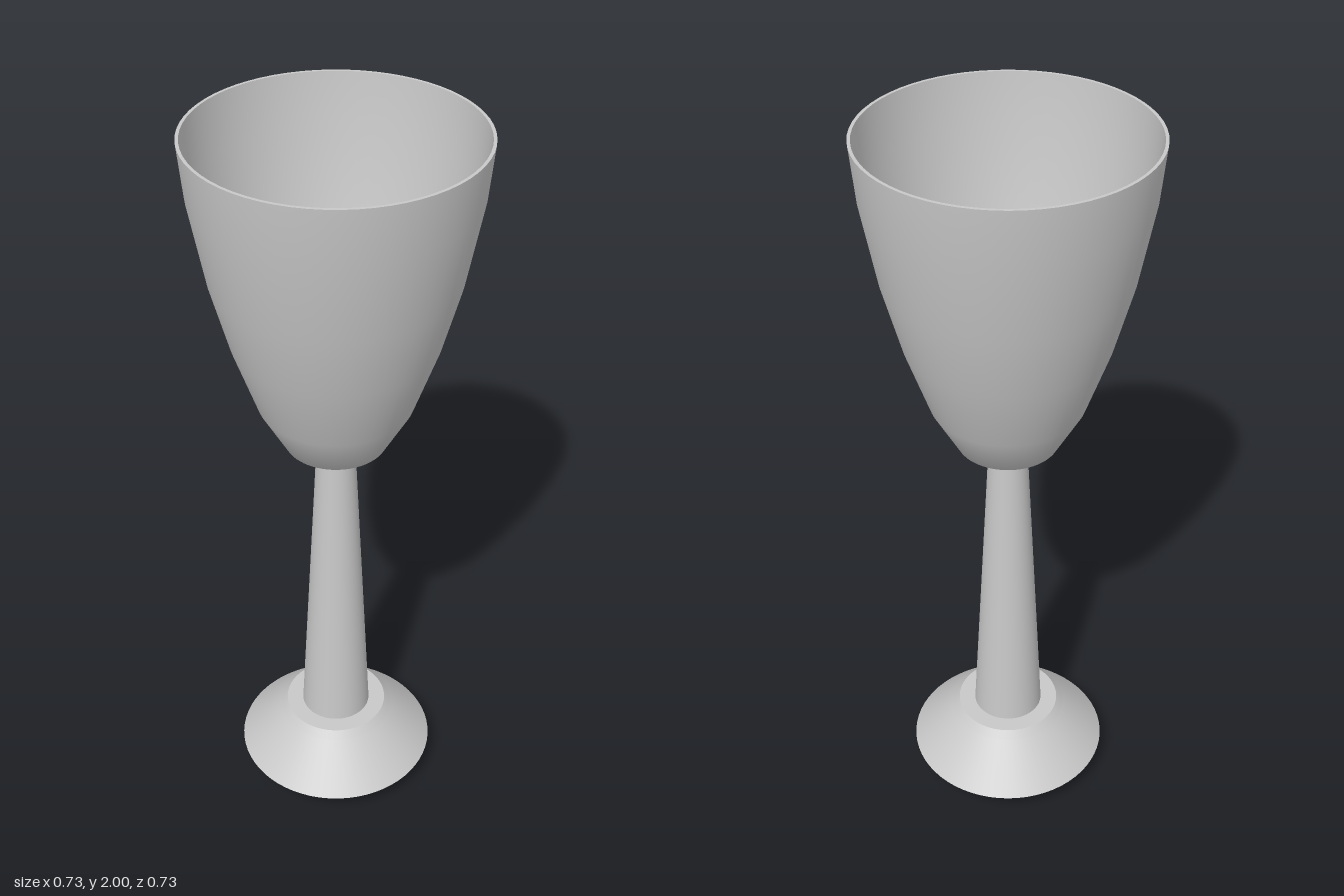
import * as THREE from 'three';

const SEGMENTS = 64;

export function createModel() {
  const metal = new THREE.MeshStandardMaterial({ color: 0xc8c8c8 });
  metal.name = 'grey metal';
  const goblet = new THREE.Group();
  goblet.name = 'goblet';

  // Spins a profile of [radius, height] pairs, smooth along its length
  const spin = (name, profile, parent) => {
    const points = profile.map(([r, y]) => new THREE.Vector2(r, y));
    const mesh = new THREE.Mesh(new THREE.LatheGeometry(points, SEGMENTS), metal);
    mesh.name = name;
    parent.add(mesh);
  };
  // Spins each straight piece of a profile on its own, leaving sharp rings
  const spinSharp = (name, profile) => {
    const group = new THREE.Group();
    group.name = name;
    for (let i = 1; i < profile.length; i++) {
      spin(name + 'Band' + i, [profile[i - 1], profile[i]], group);
    }
    goblet.add(group);
  };

  // Foot with a small socket drilled up from underneath
  spinSharp('foot', [
    [0, 0.2], [0.045, 0.2], [0.045, 0.005], [0.195, 0.02], [0.275, 0.08],
    [0.16, 0.2], [0.142, 0.22], [0.09, 0.22],
  ]);

  // Tapered stem
  spin('stem', [[0.096, 0.22], [0.052, 1.1]], goblet);

  // Bowl: outside, rim, inner wall, ledge and rounded floor
  spin('bowlOutside', [
    [0.05, 1.1], [0.133, 1.152], [0.2, 1.275], [0.263, 1.46],
    [0.31, 1.64], [0.35, 1.86], [0.363, 2],
  ], goblet);
  spin('rim', [[0.363, 2], [0.355, 2]], goblet);
  spin('bowlInside', [
    [0.355, 2], [0.342, 1.86], [0.302, 1.64], [0.255, 1.46], [0.192, 1.275], [0.175, 1.243],
  ], goblet);
  spin('ledge', [[0.175, 1.243], [0.155, 1.22]], goblet);
  spin('bowlFloor', [
    [0.155, 1.22], [0.125, 1.172], [0.08, 1.138], [0.04, 1.122], [0, 1.118],
  ], goblet);

  return goblet;
}
